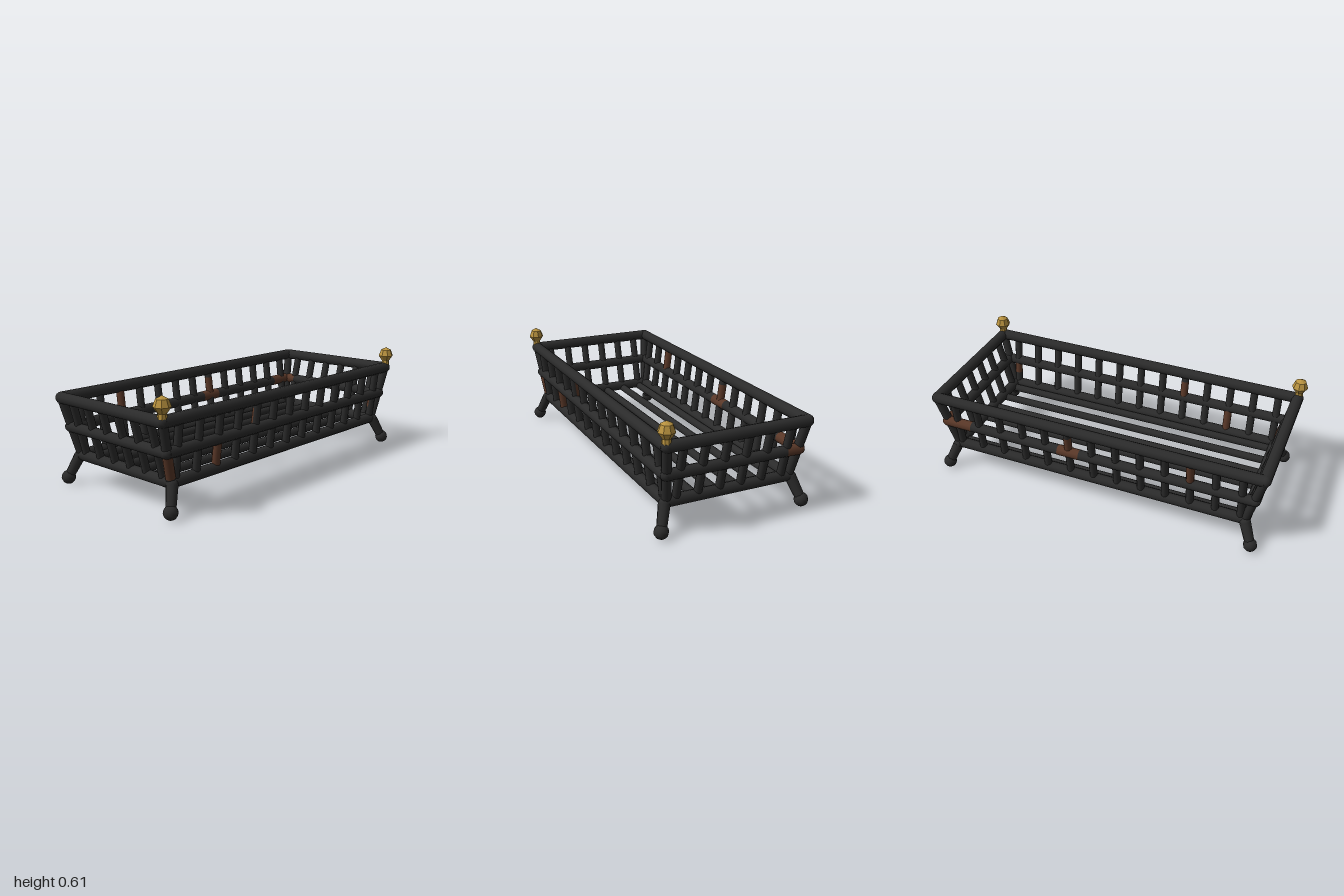
import * as THREE from 'three';

const iron = new THREE.MeshStandardMaterial({ color: 0x2b2b2b });
iron.name = 'castIron';
const rust = new THREE.MeshStandardMaterial({ color: 0x5a3828, side: THREE.DoubleSide });
rust.name = 'rust';
const brass = new THREE.MeshStandardMaterial({ color: 0xb8923f, flatShading: true });
brass.name = 'brass';

const V = (x, y, z) => new THREE.Vector3(x, y, z);
const UP = V(0, 1, 0);

// Basket levels: corner half width, height, corner half depth, rail radius
const LEVELS = [
  { name: 'bottomRail', x: 0.87, y: 0.163, z: 0.35, r: 0.031 },
  { name: 'middleRail', x: 0.915, y: 0.323, z: 0.375, r: 0.03 },
  { name: 'topRail', x: 0.953, y: 0.483, z: 0.39, r: 0.032 },
];
const [LOW, MID, TOP] = LEVELS;

export function createModel() {
  const model = new THREE.Group();
  model.name = 'fireBasket';

  const add = (name, geometry, material, position) => {
    const mesh = new THREE.Mesh(geometry, material);
    mesh.name = name;
    mesh.position.copy(position);
    model.add(mesh);
    return mesh;
  };

  // Round bar between two points
  const bar = (name, a, b, r0, r1 = r0, material = iron) => {
    const dir = b.clone().sub(a);
    const geo = new THREE.CylinderGeometry(r1, r0, dir.length(), 10);
    const mesh = add(name, geo, material, a.clone().lerp(b, 0.5));
    mesh.quaternion.setFromUnitVectors(UP, dir.normalize());
    return mesh;
  };

  const ball = (name, p, r) => add(name, new THREE.SphereGeometry(r, 10, 8), iron, p);

  // Thin rust sleeve over part of a bar; start and sweep limit it to one side
  const rustPatch = (a, b, t0, t1, r, start = 0, sweep = Math.PI * 2) => {
    const p = a.clone().lerp(b, t0), q = a.clone().lerp(b, t1);
    const dir = q.clone().sub(p);
    const geo = new THREE.CylinderGeometry(r + 0.001, r + 0.001, dir.length(), 10, 1, true, start, sweep);
    const mesh = add('rustPatch', geo, rust, p.clone().lerp(q, 0.5));
    mesh.quaternion.setFromUnitVectors(UP, dir.normalize());
  };

  // Three rectangular rings of rails
  for (const { name, x, y, z, r } of LEVELS) {
    for (const s of [-1, 1]) {
      bar(name, V(-x, y, s * z), V(x, y, s * z), r);
      bar(name, V(s * x, y, -z), V(s * x, y, z), r);
      for (const t of [-1, 1]) ball(name + 'Corner', V(s * x, y, t * z), r);
    }
  }

  // Uprights lean outward with the walls
  const rUp = 0.022;
  const wallUpright = (x, s) => [V(x, LOW.y, s * LOW.z), V(x, TOP.y, s * TOP.z)];
  for (const s of [-1, 1]) {
    for (let i = -6; i <= 6; i++) {
      bar(s > 0 ? 'frontUpright' : 'backUpright', ...wallUpright(i * 0.141, s), rUp);
    }
    for (let i = 0; i < 6; i++) {
      const z = -0.3 + i * 0.12;
      bar('sideUpright', V(s * LOW.x, LOW.y, z), V(s * TOP.x, TOP.y, z), rUp);
    }
  }

  // Floor bars
  for (let i = 0; i < 6; i++) {
    const z = -0.3 + i * 0.12;
    bar('floorBar', V(-LOW.x, 0.15, z), V(LOW.x, 0.15, z), 0.023);
  }

  // Corner posts, splayed legs and ball feet
  for (const sx of [-1, 1]) for (const sz of [-1, 1]) {
    bar('cornerPost', V(sx * LOW.x, LOW.y, sz * LOW.z), V(sx * TOP.x, TOP.y, sz * TOP.z), 0.025);
    const hip = V(sx * 0.875, 0.155, sz * 0.362);
    const foot = V(sx * 0.925, 0.038, sz * 0.402);
    bar('leg', foot, hip, 0.026, 0.031);
    ball('legTop', hip, 0.031);
    ball('foot', foot, 0.038);
  }

  // Faceted finials on the front corners
  const profile = [[0, 0.49], [0.025, 0.49], [0.022, 0.525], [0.045, 0.558], [0.031, 0.595], [0, 0.611]]
    .map(([r, y]) => new THREE.Vector2(r, y));
  for (const s of [-1, 1]) {
    add('finial', new THREE.LatheGeometry(profile, 8), brass, V(s * 0.955, 0, 0.392));
  }

  // Rust on the back corner of the middle rail and along its back run
  const corner = V(MID.x, MID.y, -MID.z);
  rustPatch(corner, V(MID.x, MID.y, MID.z), 0, 0.11, MID.r);
  rustPatch(corner, V(-MID.x, MID.y, -MID.z), 0, 0.09, MID.r);
  rustPatch(corner, V(-MID.x, MID.y, -MID.z), 0.39, 0.46, MID.r);
  add('rustCorner', new THREE.SphereGeometry(MID.r + 0.001, 10, 8), rust, corner);

  // Rust on uprights and one corner post
  rustPatch(...wallUpright(-0.564, 1), 0.05, 0.45, rUp);
  rustPatch(...wallUpright(-0.564, -1), 0.55, 0.92, rUp);
  rustPatch(...wallUpright(0.141, -1), 0.55, 0.85, rUp);
  rustPatch(...wallUpright(0.846, 1), 0.25, 0.45, rUp, Math.PI / 2, Math.PI);
  rustPatch(...wallUpright(-0.282, 1), 0.55, 0.85, rUp, Math.PI / 2, Math.PI);
  rustPatch(V(-LOW.x, LOW.y, LOW.z), V(-TOP.x, TOP.y, TOP.z), 0.08, 0.45, 0.025);

  return model;
}
